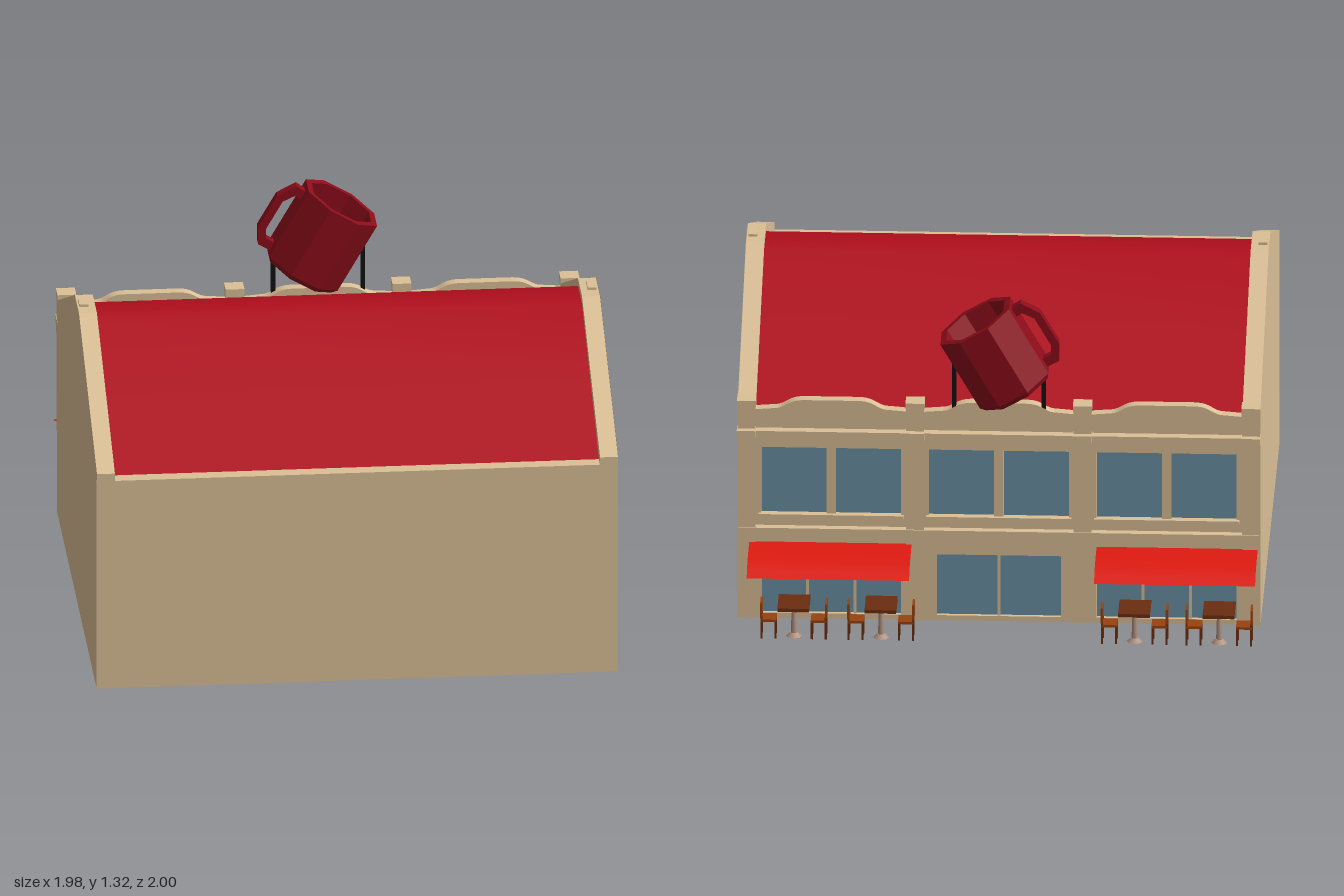
import * as THREE from 'three';

const mat = (color, flat = false) =>
  new THREE.MeshStandardMaterial({ color, flatShading: flat, side: THREE.DoubleSide });

export function createModel() {
  const model = new THREE.Group();
  const tan = mat(0xdcc096), roofRed = mat(0xb00e1c), mugRed = mat(0x8c0c1a, true);
  const awningRed = mat(0xdf1a10), glass = mat(0x6a90a5), black = mat(0x111111);
  const tableWood = mat(0x6b2d10), chairWood = mat(0x98420f), metal = mat(0xb09080);

  const add = (name, geo, material, parent = model) => {
    const mesh = new THREE.Mesh(geo, material);
    mesh.name = name;
    parent.add(mesh);
    return mesh;
  };
  // box given by its limits on each axis
  const box = (name, x0, x1, y0, y1, z0, z1, material, parent) => {
    const mesh = add(name, new THREE.BoxGeometry(x1 - x0, y1 - y0, z1 - z0), material, parent);
    mesh.position.set((x0 + x1) / 2, (y0 + y1) / 2, (z0 + z1) / 2);
    return mesh;
  };
  // sheet swept along x from a list of [z, y] points
  const sheet = (name, pts, x0, x1, material) => {
    const pos = [], idx = [];
    pts.forEach(([z, y], i) => {
      pos.push(x0, y, z, x1, y, z);
      if (i) idx.push(2 * i - 2, 2 * i - 1, 2 * i, 2 * i - 1, 2 * i + 1, 2 * i);
    });
    const geo = new THREE.BufferGeometry();
    geo.setAttribute('position', new THREE.Float32BufferAttribute(pos, 3));
    geo.setIndex(idx);
    geo.computeVertexNormals();
    if (geo.attributes.normal.getY(0) < 0) {
      geo.setIndex(idx.reverse());
      geo.computeVertexNormals();
    }
    return add(name, geo, material);
  };
  const shapeOf = pts => new THREE.Shape(pts.map(p => new THREE.Vector2(...p)));

  // gable walls: thin outer skin, thick raised coping and ridge cap
  const gable = [[1, 0.89], [0.21, 1.22], [0.03, 1.22], [-0.71, 0.89], [-0.75, 0.89]];
  const lower = gable.map(([z, y]) => [z, y - 0.09]).reverse();
  const toSide = ([z, y]) => [-z, y];
  const skin = shapeOf([[1, 0.01], ...gable, [-0.75, 0.01]].map(toSide));
  const coping = shapeOf([...gable, ...lower].map(toSide));
  for (const s of [-1, 1]) {
    const wall = add('gableWall', new THREE.ShapeGeometry(skin), tan);
    wall.rotation.y = Math.PI / 2;
    wall.position.x = s * 0.99;
    const cop = add('gableCoping',
      new THREE.ExtrudeGeometry(coping, { depth: 0.068, bevelEnabled: false }), tan);
    cop.rotation.y = Math.PI / 2;
    cop.position.x = s > 0 ? 0.921 : -0.989;
    box('ridgeCap', s * 0.965 - 0.017, s * 0.965 + 0.017, 1.21, 1.23, 0.08, 0.15, tan);
  }

  // front wall with a ledge, and the roof between the gables
  box('frontWall', -0.99, 0.99, 0.01, 0.86, 0.99, 1, tan);
  box('frontLedge', -0.922, 0.922, 0.83, 0.86, 0.94, 0.99, tan);
  sheet('roof', [[0.95, 0.862], [0.58, 1.025], [0.21, 1.188], [0.12, 1.193], [0.03, 1.188],
    [-0.34, 1.025], [-0.71, 0.862]], -0.922, 0.922, roofRed);

  // facade with a wavy parapet and openings
  const bays = [-0.635, 0, 0.635];
  const facade = new THREE.Shape();
  facade.moveTo(-0.99, 0.01);
  facade.lineTo(-0.99, 0.89);
  for (const b of bays) {
    facade.lineTo(b - 0.28, 0.865);
    facade.lineTo(b - 0.22, 0.87);
    facade.bezierCurveTo(b - 0.17, 0.87, b - 0.17, 0.905, b - 0.1, 0.905);
    facade.lineTo(b + 0.1, 0.905);
    facade.bezierCurveTo(b + 0.17, 0.905, b + 0.17, 0.87, b + 0.22, 0.87);
    facade.lineTo(b + 0.28, 0.865);
  }
  facade.lineTo(0.99, 0.89);
  facade.lineTo(0.99, 0.01);
  const opening = (x0, x1, y0, y1) =>
    facade.holes.push(shapeOf([[x0, y0], [x1, y0], [x1, y1], [x0, y1]]));
  for (const b of bays) {
    const w = b ? 0.265 : 0.235;
    opening(b - 0.265, b - 0.018, 0.44, 0.71);
    opening(b + 0.018, b + 0.265, 0.44, 0.71);
    opening(b - w, b + w, 0.03, 0.28);
    box('upperWindow', b - 0.27, b + 0.27, 0.43, 0.72, -0.735, -0.725, glass);
    box('shopWindow', b - 0.27, b + 0.27, 0.02, 0.29, -0.735, -0.725, glass);
    box('windowSill', b - 0.275, b + 0.275, 0.425, 0.44, -0.765, -0.75, tan);
    for (const x of b ? [-0.09, 0.09] : [0])
      box('shopMullion', b + x - 0.006, b + x + 0.006, 0.03, 0.28, -0.745, -0.735, tan);
  }
  add('facade', new THREE.ExtrudeGeometry(facade, { depth: 0.04, bevelEnabled: false }), tan)
    .position.z = -0.75;

  // cornices and pilasters
  box('lowerCornice', -0.985, 0.985, 0.33, 0.37, -0.77, -0.75, tan);
  box('lowerCorniceLip', -0.985, 0.985, 0.37, 0.39, -0.78, -0.75, tan);
  box('upperCornice', -0.985, 0.985, 0.74, 0.765, -0.775, -0.75, tan);
  box('upperCorniceLip', -0.985, 0.985, 0.765, 0.79, -0.785, -0.75, tan);
  for (const x of [-0.955, -0.317, 0.317, 0.955]) {
    const strip = (name, hw, y0, y1, z) => box(name, x - hw, x + hw, y0, y1, z, -0.71, tan);
    strip('pilasterFoot', 0.034, 0.01, 0.33, -0.757);
    strip('pilaster', 0.034, 0.33, 0.885, -0.775);
    strip('pilasterBracket', 0.036, 0.735, 0.77, -0.785);
    strip('pilasterBlock', 0.036, 0.765, 0.795, -0.8);
    strip('pilasterCap', 0.036, 0.885, 0.91, -0.78);
  }

  // awnings
  for (const [x0, x1] of [[-0.98, -0.37], [0.33, 0.945]])
    sheet('awning', [[-0.75, 0.322], [-0.84, 0.32], [-0.92, 0.314], [-0.96, 0.296], [-1, 0.275]],
      x0, x1, awningRed);

  // cafe tables, each with two chairs facing it
  const chair = (parent, s) => {
    const g = new THREE.Group();
    g.name = 'chair';
    g.position.x = s * 0.095;
    g.scale.x = s;
    parent.add(g);
    box('seat', -0.03, 0.03, 0.068, 0.078, -0.033, 0.033, chairWood, g);
    box('chairBack', 0.024, 0.032, 0.085, 0.145, -0.033, 0.033, chairWood, g);
    for (const x of [-0.026, 0.027]) for (const z of [-0.028, 0.028])
      box('chairLeg', x - 0.004, x + 0.004, 0, x > 0 ? 0.09 : 0.07, z - 0.004, z + 0.004, tableWood, g);
  };
  for (const x of [-0.84, -0.52, 0.44, 0.77]) {
    const set = new THREE.Group();
    set.name = 'tableSet';
    set.position.set(x, 0, -0.9);
    model.add(set);
    box('tableTop', -0.06, 0.06, 0.126, 0.14, -0.07, 0.07, tableWood, set);
    add('tableStem', new THREE.CylinderGeometry(0.008, 0.012, 0.12, 8), metal, set).position.y = 0.066;
    add('tableFoot', new THREE.CylinderGeometry(0.015, 0.03, 0.015, 8), metal, set).position.y = 0.0075;
    chair(set, -1);
    chair(set, 1);
  }

  // tilted eight-sided mug on two posts
  const mug = new THREE.Group();
  mug.name = 'mug';
  mug.position.set(0.01, 1.1, -0.74);
  mug.rotation.z = -Math.PI / 6;
  model.add(mug);
  const profile = [[0, -0.16], [0.145, -0.16], [0.162, -0.14], [0.162, 0.16], [0.135, 0.16], [0.13, -0.1], [0, -0.1]]
    .map(p => new THREE.Vector2(...p));
  add('cup', new THREE.LatheGeometry(profile, 8, Math.PI / 8), mugRed, mug);
  const handle = shapeOf([[-0.14, 0.14], [-0.19, 0.145], [-0.235, 0.075], [-0.235, -0.07], [-0.2, -0.13], [-0.14, -0.13]]);
  handle.holes.push(shapeOf([[-0.145, 0.105], [-0.175, 0.108], [-0.205, 0.065], [-0.205, -0.06], [-0.185, -0.095], [-0.145, -0.095]]));
  add('handle', new THREE.ExtrudeGeometry(handle, { depth: 0.04, bevelEnabled: false }), mugRed, mug)
    .position.z = -0.02;
  for (const [x, top] of [[0.17, 1.07], [-0.17, 1.03]])
    box('post', x - 0.008, x + 0.008, 0.86, top, -0.748, -0.732, black);

  return model;
}
